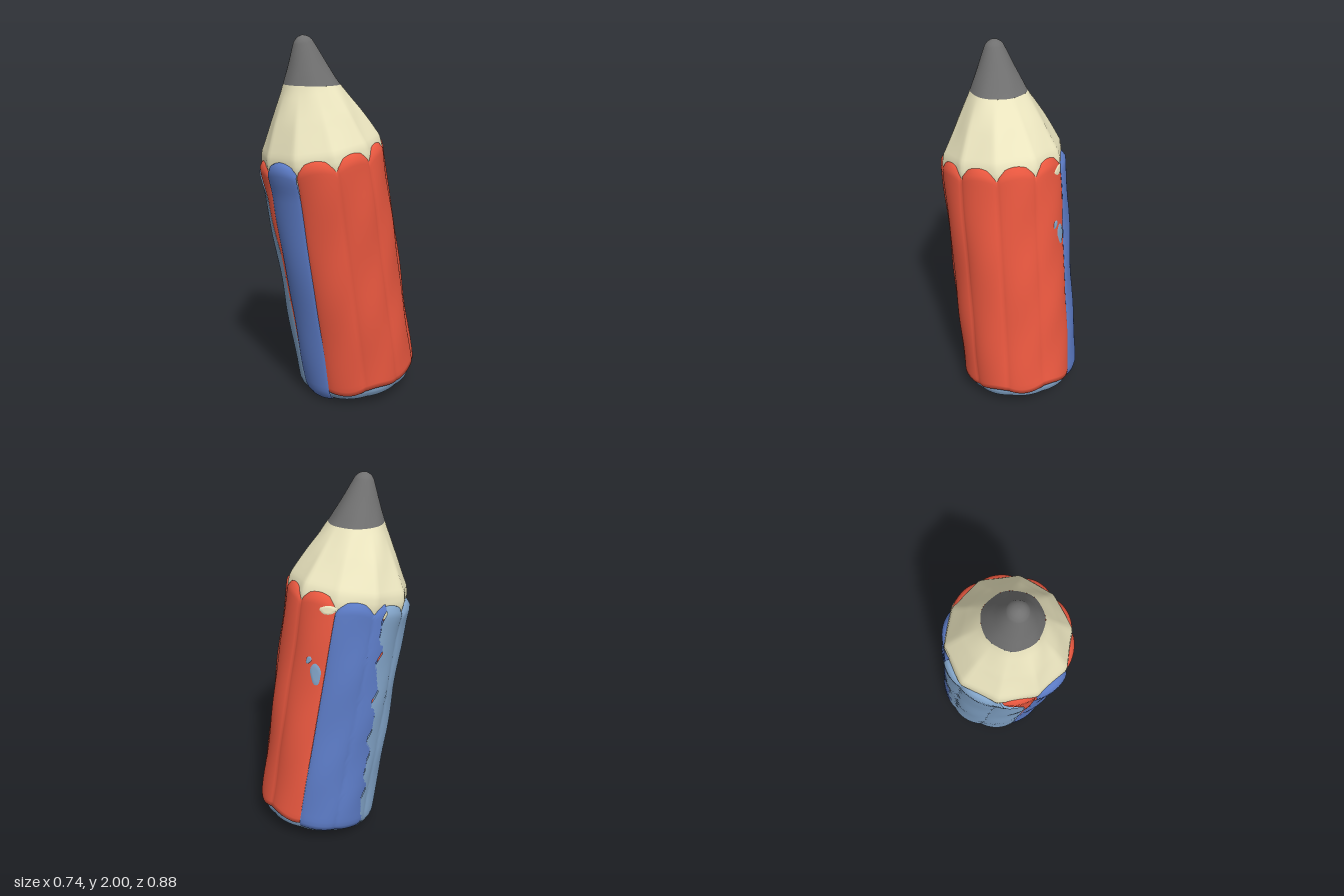
import * as THREE from 'three';
import { mergeVertices } from 'three/addons/utils/BufferGeometryUtils.js';

const RED = 0xe8573f, BLUE = 0x5b7ac4, LIGHT = 0x82a4c8, WOOD = 0xece6c0, LEAD = 0x707070;
const RAD = Math.PI / 180, FLUTES = 10;
const { lerp, smoothstep, clamp } = THREE.MathUtils;

// Flutes twist slightly along the length; centre of the front one, in degrees
const twist = (t) => -1 + 6 * clamp(t / 1.36, 0, 1);
// 1 on the crest of a flute, 0 in the groove between two
const crest = (deg, t) => Math.abs(Math.cos((deg - twist(t)) * RAD * FLUTES / 2));
const wobble = (deg, t) =>
  0.0025 * Math.sin(3 * deg * RAD + 9 * t) + 0.002 * Math.sin(7 * deg * RAD - 14 * t);

// Hand-carved body radius, rounded in at the foot
function bodyRadius(deg, t) {
  const foot = Math.max(0, 1 - t / 0.08);
  return 0.326 + 0.012 * Math.sqrt(crest(deg, t)) + wobble(deg, t) - 0.03 * foot * foot;
}

// Point on the pencil from angle (degrees from the front), height and radius
const polar = (deg, t, r) => [r * Math.sin(deg * RAD), t, r * Math.cos(deg * RAD)];

// Smooth surface from a rule (u runs around, v runs up)
function surface(name, color, rule, nu, nv) {
  const pos = [], idx = [];
  for (let j = 0; j <= nv; j++)
    for (let i = 0; i <= nu; i++) pos.push(...rule(i / nu, j / nv));
  for (let j = 0; j < nv; j++)
    for (let i = 0; i < nu; i++) {
      const a = j * (nu + 1) + i, b = a + 1, c = a + nu + 1, d = c + 1;
      idx.push(a, b, d, a, d, c);
    }
  let g = new THREE.BufferGeometry();
  g.setAttribute('position', new THREE.Float32BufferAttribute(pos, 3));
  g.setIndex(idx);
  g = mergeVertices(g, 1e-5);
  g.computeVertexNormals();
  const mesh = new THREE.Mesh(g, new THREE.MeshStandardMaterial({ color, side: THREE.DoubleSide }));
  mesh.name = name;
  return mesh;
}

// Linear interpolation through [x, y] points
function along(points, x) {
  for (let i = 1; i < points.length; i++) {
    const [x0, y0] = points[i - 1], [x1, y1] = points[i];
    if (x <= x1) return lerp(y0, y1, clamp((x - x0) / (x1 - x0), 0, 1));
  }
  return points[points.length - 1][1];
}

// Painted strip between two edges, with a scalloped upper end and tucked-in rims
function strip(name, color, left, right, { foot = 0.02, peak = 1.39, flare = 0, nu = 24 }) {
  return surface(name, color, (u, v) => {
    const k = clamp((v - 0.02) / 0.96, 0, 1);
    const nominal = k * 1.36;
    const deg = lerp(left(k), right(k), u);
    const c = crest(deg, nominal);
    const top = peak - 0.045 + 0.045 * Math.sqrt(c);
    const low = foot + (foot > 0.04 ? 0.012 * Math.sin(deg * RAD * 7) : 0);
    const t = lerp(low, top, k);
    let r = bodyRadius(deg, t) + flare * smoothstep(t, 1.2, 1.32);
    r -= 0.02 * smoothstep(k, 0.975, 1);
    if (v === 0) r -= 0.03;
    if (v === 1) r -= 0.035;
    return polar(deg, t + (v === 1 ? 0.008 : 0), r);
  }, nu, 50);
}

// Small oval of colour lying on the body
function spot(name, color, deg, t, w, h, turn = 0) {
  return surface(name, color, (u, v) => {
    const a = u * 2 * Math.PI;
    const x = v * w * Math.cos(a) * (1 + 0.12 * Math.sin(3 * a)), y = v * h * Math.sin(a);
    const d = deg + (x * Math.cos(turn) - y * Math.sin(turn)) / 0.33 / RAD;
    const tt = t + x * Math.sin(turn) + y * Math.cos(turn);
    return polar(d, tt, bodyRadius(d, tt) + 0.003 - (v === 1 ? 0.004 : 0));
  }, 20, 4);
}

// Sharpened end: [height, radius]
const CONE = [[1.28, 0.312], [1.36, 0.322], [1.41, 0.314], [1.57, 0.232], [1.715, 0.152],
  [1.83, 0.1], [1.92, 0.062], [1.95, 0.049], [1.967, 0.034], [1.977, 0.016], [1.98, 0]];
function conePoint(deg, t) {
  const phi = Math.acos(crest(deg, 1.36)) * 2 / FLUTES;
  const facet = Math.cos(Math.PI / FLUTES) / Math.cos(phi) * 1.025;
  const cut = 1 - smoothstep(t, 1.5, 1.75);
  const ripple = wobble(deg, t) * (1 - smoothstep(t, 1.65, 1.9));
  return polar(deg, t, along(CONE, t) * lerp(1, facet, cut) + ripple);
}

export function createModel() {
  const pencil = new THREE.Group();
  pencil.name = 'pencil';

  // Wooden cone and lead, meeting on a level line despite the lean
  const meet = (deg) => (1.70 - 0.15 * (0.053 * Math.sin(deg * RAD) - 0.161 * Math.cos(deg * RAD))) / 0.985;
  pencil.add(surface('woodenCone', WOOD, (u, v) =>
    conePoint(u * 360, lerp(1.28, meet(u * 360), v)), 120, 24));
  pencil.add(surface('leadTip', LEAD, (u, v) =>
    conePoint(u * 360, lerp(meet(u * 360), 1.98, 1 - (1 - v) ** 1.6)), 60, 24));

  // Flat end and its rounded rim
  const RIM = [[0, 0.275], [0.012, 0.3], [0.045, 0.318], [0.12, 0.32]];
  const rimRadius = (deg, t) => along(RIM, t) + 0.01 * (Math.sqrt(crest(deg, 0)) - 0.5);
  pencil.add(surface('endRim', LIGHT, (u, v) =>
    polar(u * 360, v * 0.12, rimRadius(u * 360, v * 0.12)), 100, 10));
  pencil.add(surface('endCap', LIGHT, (u, v) =>
    polar(u * 360, 0, v * rimRadius(u * 360, 0)), 100, 3));

  // Strip edges, as angles along the length
  const groove = (offset) => (k) => twist(k * 1.36) + offset;
  const ragged = (k) => lerp(262, 247, k) + 2.5 * Math.sin(k * 40) + 1.5 * Math.sin(k * 71);
  const WEDGE = [[0, 0], [0.2, 0], [0.65, 3], [0.86, 9], [0.91, 16], [0.96, 25], [1, 34]];
  const lightEnd = (k) => groove(342)(k) - along(WEDGE, k);

  pencil.add(strip('frontBlueStrip', BLUE, groove(-18), groove(18), { foot: 0.015, flare: 0.01 }));
  pencil.add(strip('redSide', RED, groove(18), groove(198), { foot: 0.06, nu: 90 }));
  pencil.add(strip('backBlueStrip', BLUE, groove(198), ragged, { foot: 0.03, peak: 1.37, nu: 30 }));
  pencil.add(strip('lightBlueSide', LIGHT, ragged, lightEnd,
    { foot: 0.015, peak: 1.355, flare: 0.008, nu: 45 }));
  pencil.add(strip('redWedge', RED, lightEnd, groove(342), { foot: 0.015, peak: 1.375, nu: 16 }));

  // Stray paint marks on the back
  pencil.add(spot('paintSpotLarge', LIGHT, 193, 0.96, 0.03, 0.065, 0.15));
  pencil.add(spot('paintSpotSmall', LIGHT, 185, 1.03, 0.014, 0.025, -0.4));
  pencil.add(spot('bareWoodPatch', WOOD, 196, 1.315, 0.045, 0.024, 0.2));

  // Leaning pose
  pencil.quaternion.setFromUnitVectors(
    new THREE.Vector3(0, 1, 0), new THREE.Vector3(-0.054, 1, 0.163).normalize());
  pencil.position.set(0.03, 0.05, -0.13);

  const model = new THREE.Group();
  model.name = 'leaningPencil';
  model.add(pencil);
  return model;
}
